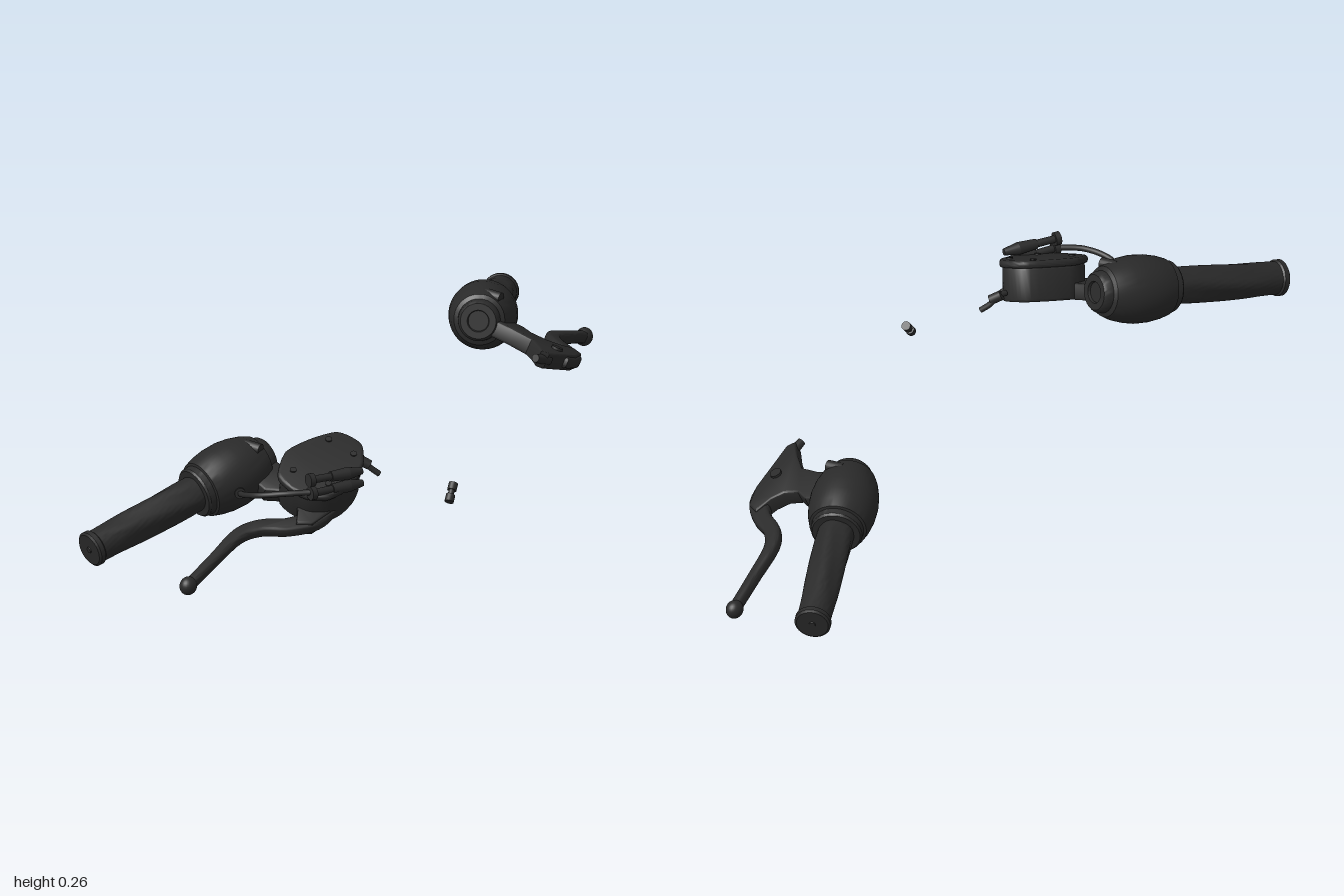
import * as THREE from 'three';
import { mergeVertices, toCreasedNormals } from 'three/addons/utils/BufferGeometryUtils.js';

const V = (x, y, z) => new THREE.Vector3(x, y, z);
const UP = V(0, 1, 0);

// Each set of controls lies on one tilted plane; h is the distance off it
const NORMAL = V(0.28, 1, 0.375).normalize();
const onPlane = (x, z, h = 0) =>
  V(x, 0.08 + 0.375 * (0.975 - z) - 0.28 * (x + 0.272), z).addScaledVector(NORMAL, h);

// Bar axis, from the outer grip end inwards
const AXIS_START = V(-0.272, 0.08, 0.98);
const AXIS = V(0.207, 0.12, -0.475).normalize();

function rod(a, b, ra, rb = ra, sides = 20) {
  const dir = b.clone().sub(a);
  const g = new THREE.CylinderGeometry(rb, ra, dir.length(), sides);
  g.applyQuaternion(new THREE.Quaternion().setFromUnitVectors(UP, dir.clone().normalize()));
  return g.translate((a.x + b.x) / 2, (a.y + b.y) / 2, (a.z + b.z) / 2);
}

function ball(p, r, sx = 1, sy = 1, sz = 1) {
  return new THREE.SphereGeometry(r, 24, 16).scale(sx, sy, sz).translate(p.x, p.y, p.z);
}

// Revolved profile of [distance along bar, radius]
function turned(profile, bend) {
  const g = new THREE.LatheGeometry(profile.map(([s, r]) => new THREE.Vector2(r, s)), 48);
  if (bend) {
    const p = g.attributes.position;
    for (let i = 0; i < p.count; i++) {
      const k = bend(p.getY(i), Math.atan2(p.getZ(i), p.getX(i)));
      p.setXYZ(i, p.getX(i) * k, p.getY(i), p.getZ(i) * k);
    }
  }
  g.applyQuaternion(new THREE.Quaternion().setFromUnitVectors(UP, AXIS));
  g.translate(AXIS_START.x, AXIS_START.y, AXIS_START.z);
  return toCreasedNormals(g, 0.6);
}

// Extruded outline of [x, z] points lying on the control plane
function plate(points, h0, h1, bevel) {
  const shape = new THREE.Shape(points.map(([x, z]) => new THREE.Vector2(x, -z)));
  const g = new THREE.ExtrudeGeometry(shape, {
    depth: h1 - h0 - 2 * bevel, bevelThickness: bevel, bevelSize: bevel,
    bevelOffset: -bevel, bevelSegments: 3,
  });
  g.translate(0, 0, h0 + bevel);
  const m = new THREE.Matrix4().makeBasis(V(1, -0.28, 0), V(0, 0.375, -1), NORMAL);
  m.setPosition(onPlane(0, 0));
  return toCreasedNormals(g.applyMatrix4(m), 0.6);
}

// Smooth closed outline through a few points
function smoothLoop(points, n = 40) {
  const c = new THREE.CatmullRomCurve3(points.map(([x, z]) => V(x, 0, z)), true, 'catmullrom', 0.35);
  return c.getPoints(n).slice(0, n).map((p) => [p.x, p.z]);
}

// Outline of a strip following a centreline of [x, z, half width]
function strip(line, n = 28) {
  const c = new THREE.CatmullRomCurve3(line.map(([x, z, w]) => V(x, w, z)));
  const a = [], b = [];
  for (let i = 0; i <= n; i++) {
    const p = c.getPoint(i / n), t = c.getTangent(i / n);
    const l = Math.hypot(t.x, t.z), dx = (-t.z / l) * p.y, dz = (t.x / l) * p.y;
    a.push([p.x + dx, p.z + dz]);
    b.unshift([p.x - dx, p.z - dz]);
  }
  return a.concat(b);
}

function mirrorZ(geometry) {
  const g = mergeVertices(geometry);
  g.scale(1, 1, -1);
  const ix = g.index;
  for (let i = 0; i < ix.count; i += 3) {
    const t = ix.getX(i);
    ix.setX(i, ix.getX(i + 2));
    ix.setX(i + 2, t);
  }
  return g;
}

export function createModel() {
  const model = new THREE.Group();
  const black = new THREE.MeshStandardMaterial({ color: 0x2a2a2a });
  black.name = 'matte black';

  for (const side of ['left', 'right']) {
    const front = side === 'left';
    const group = new THREE.Group();
    group.name = front ? 'frontControls' : 'rearControls';
    model.add(group);
    const add = (name, g) => {
      const mesh = new THREE.Mesh(front ? g : mirrorZ(g), black);
      mesh.name = name;
      group.add(mesh);
    };

    // Grip with end flange and twisted flutes
    const grip = [[-0.002, 0], [-0.002, 0.007], [0, 0.008], [0, 0.038], [0.004, 0.043], [0.016, 0.043], [0.02, 0.039]];
    for (let i = 1; i <= 20; i++) grip.push([0.02 + i * 0.0165, 0.039 + 0.004 * Math.sin((i / 20) * 2)]);
    add('grip', turned(grip, (s, a) => {
      const fade = THREE.MathUtils.smoothstep(s, 0.04, 0.12) * (1 - THREE.MathUtils.smoothstep(s, 0.28, 0.34));
      return 1 + 0.055 * fade * Math.cos(5 * a + s * 14);
    }));

    // Switch housing, turned around the bar
    add('switchHousing', turned([[0.315, 0.04], [0.315, 0.057], [0.32, 0.061], [0.335, 0.062], [0.337, 0.068],
      [0.36, 0.075], [0.39, 0.08], [0.425, 0.081], [0.455, 0.077], [0.485, 0.069], [0.505, 0.06], [0.51, 0.05],
      [0.525, 0.048], [0.532, 0.042], [0.532, 0.026], [0.526, 0.024], [0.526, 0]]));
    const top = AXIS_START.clone().addScaledVector(AXIS, 0.475).addScaledVector(NORMAL, 0.062);
    add('topButton', rod(top.clone().add(V(-0.012, 0, -0.005)), top.clone().add(V(0.03, -0.004, -0.005)), 0.014));

    // Lever with ball end
    add('leverBlade', plate(strip([[-0.026, 0.94, 0.012], [-0.014, 0.84, 0.013], [0, 0.745, 0.016],
      [0.03, 0.7, 0.018], [0.085, 0.66, 0.02], [0.125, 0.605, 0.024], [0.138, 0.53, 0.02]]), -0.014, 0.014, 0.008));
    add('leverBall', ball(onPlane(-0.027, 0.942), 0.021, 0.95, 1.05, 1.1));

    // Bracket joining the lever to the housing
    add('leverBracket', plate([[0.1, 0.655], [0.132, 0.635], [0.149, 0.58], [0.15, 0.45], [0.135, 0.437],
      [0.105, 0.475], [0.065, 0.515], [0.01, 0.525], [-0.07, 0.515], [-0.08, 0.59], [-0.01, 0.61],
      [0.025, 0.59], [0.06, 0.595], [0.082, 0.615]], -0.021, 0.019, 0.005));
    add('leverPivot', rod(onPlane(0.118, 0.54, -0.027), onPlane(0.118, 0.54, 0.025), 0.014));
    add('cableAdjuster', rod(onPlane(0.142, 0.47), onPlane(0.137, 0.42), 0.013, 0.01));

    if (!front) continue;

    // Fluid reservoir and its lid
    const outline = [[-0.004, 0.53], [0.025, 0.465], [0.065, 0.413], [0.1, 0.405], [0.137, 0.412], [0.165, 0.455],
      [0.174, 0.5], [0.168, 0.55], [0.145, 0.595], [0.105, 0.618], [0.055, 0.618], [0.015, 0.6]];
    const inner = outline.map(([x, z]) => [0.085 + (x - 0.085) * 0.93, 0.51 + (z - 0.51) * 0.93]);
    add('reservoirBody', plate(smoothLoop(inner), -0.02, 0.062, 0.006));
    add('reservoirLid', plate(smoothLoop(outline), 0.06, 0.078, 0.007));
    for (const [x, z] of [[0.04, 0.57], [0.13, 0.56], [0.065, 0.445], [0.135, 0.45]])
      add('lidScrew', rod(onPlane(x, z, 0.07), onPlane(x, z, 0.081), 0.008));

    // Two hose fittings beside the reservoir
    for (const [a, b] of [[V(0.128, 0.218, 0.645), V(0.196, 0.215, 0.53)], [V(0.135, 0.188, 0.65), V(0.198, 0.185, 0.53)]]) {
      const at = (t) => a.clone().lerp(b, t);
      add('fittingHead', rod(at(0), at(0.1), 0.016));
      add('fittingStem', rod(at(0.08), at(0.5), 0.009));
      add('fittingBoot', rod(at(0.45), at(0.8), 0.012, 0.015));
      add('fittingTip', rod(at(0.8), at(1.08), 0.015, 0.008));
    }

    // Cable from the fitting to the housing
    const cable = new THREE.CatmullRomCurve3([V(-0.065, 0.158, 0.645), V(-0.035, 0.162, 0.672), V(0.02, 0.176, 0.692),
      V(0.08, 0.187, 0.68), V(0.135, 0.19, 0.645)]);
    add('cable', new THREE.TubeGeometry(cable, 32, 0.007, 10));
    add('cableSocket', rod(V(-0.07, 0.156, 0.635), V(-0.042, 0.161, 0.668), 0.013));
    add('thumbButton', rod(V(-0.075, 0.19, 0.615), V(-0.056, 0.199, 0.642), 0.016, 0.014));

    // Small pipe behind the reservoir
    const pipe = new THREE.CatmullRomCurve3([V(0.12, 0.185, 0.41), V(0.13, 0.183, 0.385), V(0.14, 0.165, 0.375), V(0.16, 0.147, 0.363)]);
    add('outletPipe', new THREE.TubeGeometry(pipe, 16, 0.007, 10));
    add('pipeCollar', rod(V(0.12, 0.187, 0.392), V(0.143, 0.172, 0.38), 0.012));

    // Loose hose connector
    const p = V(0.297, 0.113, 0.253), q = V(0.304, 0.079, 0.287);
    const mid = (t) => p.clone().lerp(q, t);
    add('connectorTop', rod(mid(0), mid(0.38), 0.011));
    add('connectorNeck', rod(mid(0.3), mid(0.7), 0.007));
    add('connectorBottom', rod(mid(0.62), mid(1), 0.011));
  }
  return model;
}
